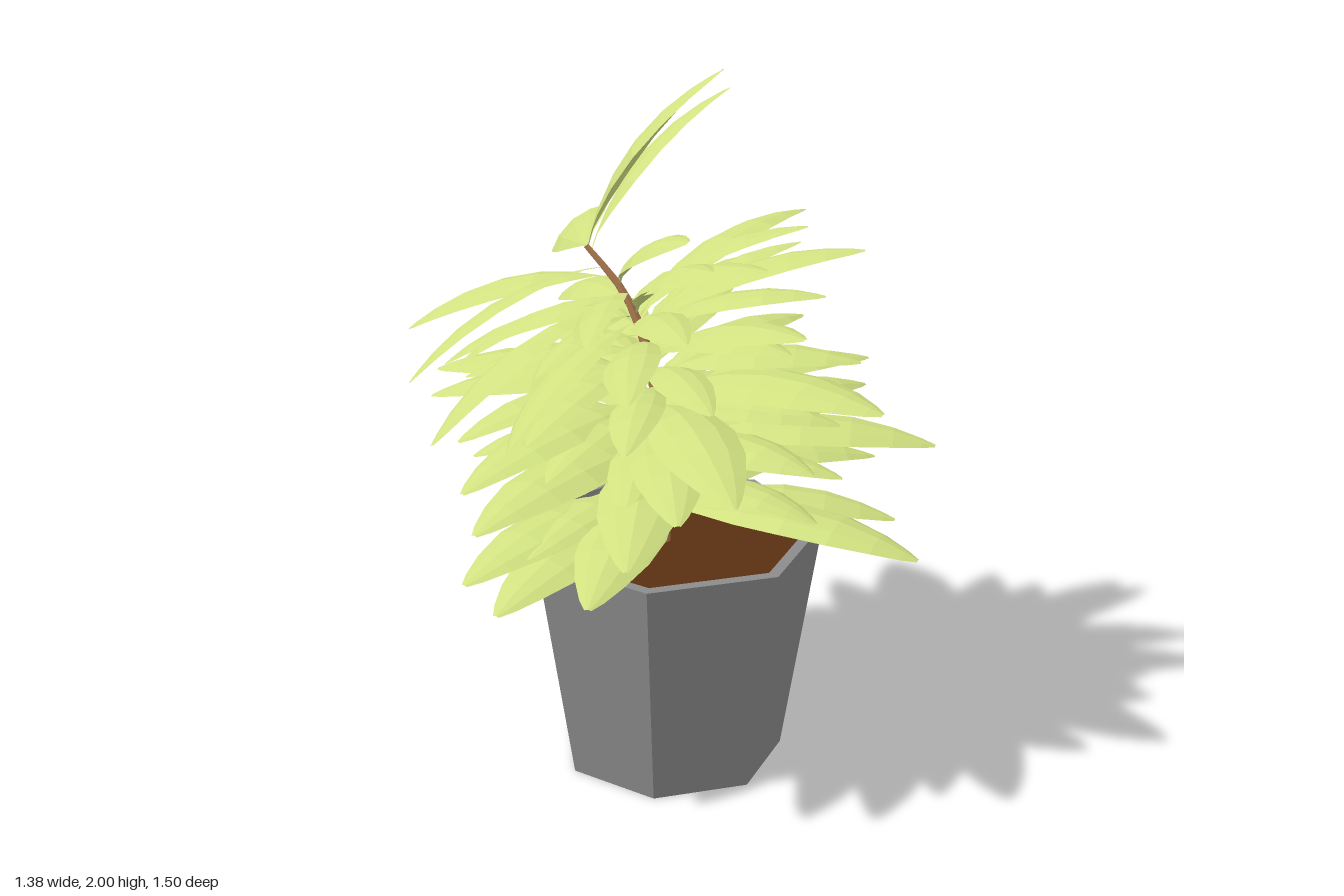
import * as THREE from 'three';

const mat = (color, side = THREE.FrontSide) =>
  new THREE.MeshStandardMaterial({ color, side, flatShading: true });
const leafMat = mat(0xd0e080, THREE.DoubleSide);
const potMat = mat(0x8c8c8c, THREE.DoubleSide);
const soilMat = mat(0x5a2f12);
const barkMat = mat(0xb07c52);

const V = (x, y, z) => new THREE.Vector3(x, y, z);

let seed = 11;
const rand = () => (seed = (seed * 16807) % 2147483647) / 2147483647;

function add(parent, name, geometry, material) {
  const mesh = new THREE.Mesh(geometry, material);
  mesh.name = name;
  parent.add(mesh);
  return mesh;
}

// Bent trunk, leaning over near the top
const stemCurve = new THREE.CatmullRomCurve3([
  V(0, 0.6, 0), V(0.005, 0.85, 0), V(-0.005, 1.02, 0), V(-0.04, 1.22, -0.01),
  V(-0.09, 1.36, -0.045), V(-0.18, 1.485, -0.1),
]);

// Point and direction of the trunk at a given height
function stemAt(y) {
  let lo = 0, hi = 1;
  for (let i = 0; i < 16; i++) {
    const mid = (lo + hi) / 2;
    if (stemCurve.getPoint(mid).y < y) lo = mid; else hi = mid;
  }
  return { point: stemCurve.getPoint(lo), tangent: stemCurve.getTangent(lo) };
}

function stemGeometry() {
  const rows = 14, sides = 6;
  const g = new THREE.TubeGeometry(stemCurve, rows, 1, sides, false);
  const p = g.attributes.position;
  for (let i = 0; i < p.count; i++) {
    const t = Math.floor(i / (sides + 1)) / rows;
    const c = stemCurve.getPointAt(t);
    const v = V().fromBufferAttribute(p, i).sub(c);
    v.multiplyScalar(THREE.MathUtils.lerp(0.028, 0.008, t)).add(c);
    p.setXYZ(i, v.x, v.y, v.z);
  }
  return g;
}

// Leaf: arched midrib from base to tip with drooping margins, lying square to the trunk
const LEAF_T = [0, 0.08, 0.18, 0.34, 0.52, 0.7, 0.85, 0.95, 1];
const LEAF_W = [0.04, 0.08, 0.42, 0.84, 1, 0.9, 0.6, 0.3, 0.08];
const ACROSS = [-1, -0.55, 0, 0.55, 1];

function leafGeometry(base, tip, up) {
  const arch = 0.11, width = 0.15;
  const dir = tip.clone().sub(base);
  const len = dir.length();
  dir.normalize();
  const side = dir.clone().cross(up).normalize();
  const normal = side.clone().cross(dir);
  const pos = [], index = [];
  const n = ACROSS.length;
  LEAF_T.forEach((t, i) => {
    const half = LEAF_W[i] * width * len;
    const lift = 4 * t * (1 - t) * arch * len;
    for (const s of ACROSS) {
      const v = base.clone().addScaledVector(dir, t * len)
        .addScaledVector(side, s * half)
        .addScaledVector(normal, lift - 0.3 * half * s * s);
      pos.push(v.x, v.y, v.z);
    }
    if (i === 0) return;
    for (let k = 0; k < n - 1; k++) {
      const a = (i - 1) * n + k, b = i * n + k;
      index.push(a, a + 1, b, a + 1, b + 1, b);
    }
  });
  const g = new THREE.BufferGeometry();
  g.setAttribute('position', new THREE.Float32BufferAttribute(pos, 3));
  g.setIndex(index);
  g.computeVertexNormals();
  return g;
}

// Longest leaves: tip x, y, z and height of the base on the trunk
const CROWN_LEAVES = [
  [0.13, 2.0, 0.12, 1.48], [0.27, 1.85, -0.25, 1.47], [0, 1.31, -0.75, 1.47],
  [-0.69, 1.17, -0.03, 1.43], [-0.68, 1.08, 0.2, 1.34], [-0.62, 1.2, -0.37, 1.4],
  [0.54, 1.44, -0.38, 1.28], [0.5, 1.51, 0.22, 1.26], [0.36, 1.57, 0.16, 1.32],
  [0.41, 1.46, -0.04, 1.25], [0, 1.57, 0.45, 1.3], [-0.03, 1.62, 0.35, 1.38],
  [0.23, 1.39, 0.52, 1.17], [-0.6, 1.1, 0.08, 1.33], [-0.5, 1.08, 0.3, 1.28],
  [-0.52, 1.14, -0.2, 1.35],
];
const OUTER_LEAVES = [
  [0.68, 0.95, -0.22, 0.93], [0.64, 0.77, -0.33, 0.77], [0.63, 1.09, -0.07, 1.03],
  [0.62, 0.83, 0.03, 0.82], [0.69, 0.96, 0.3, 0.92], [0.57, 0.72, 0.5, 0.72],
  [0.6, 0.73, 0.25, 0.74], [0.42, 1.19, 0.59, 1.08], [0.37, 1.2, -0.58, 1.13],
  [0.41, 1.29, -0.46, 1.18], [-0.03, 1.05, 0.75, 1.04], [-0.15, 0.98, 0.66, 0.98],
  [-0.3, 0.9, 0.72, 0.9], [-0.38, 0.77, 0.64, 0.77], [-0.58, 0.7, 0.47, 0.72],
  [-0.64, 0.75, 0.37, 0.77], [-0.62, 0.91, 0.42, 0.92], [-0.63, 0.99, 0.33, 1.04],
  [-0.53, 1.05, -0.43, 1.1], [-0.58, 1.03, -0.28, 1.08], [-0.25, 0.97, -0.65, 0.98],
  [-0.02, 1.05, -0.71, 1.07], [-0.1, 0.78, -0.72, 0.78], [-0.09, 0.7, -0.65, 0.72],
];
// Directions of the shorter leaves (degrees from +x towards +z) and their height range
const DIRECTIONS = [
  [-28, 0.7, 1.5], [-52, 0.8, 1.5], [-95, 0.7, 1.5], [-110, 0.85, 1.5],
  [-145, 0.95, 1.5], [172, 0.9, 1.5], [142, 0.7, 1.5], [115, 0.7, 1.5],
  [90, 0.95, 1.5], [52, 0.7, 1.5], [30, 0.7, 1.5], [-5, 0.7, 1.05],
];

function foliage() {
  const group = new THREE.Group();
  group.name = 'foliage';
  const grow = (name, list) => list.forEach(([x, y, z, h]) => {
    const { point, tangent } = stemAt(h);
    add(group, name, leafGeometry(point, V(x, y, z), tangent), leafMat);
  });
  grow('crownLeaf', CROWN_LEAVES);
  grow('outerLeaf', OUTER_LEAVES);

  // Shorter leaves spiral up the trunk, tilting with its lean
  const count = 60;
  for (let i = 0; i < count; i++) {
    const h = 0.72 + 0.64 * (i / count);
    const [deg, low, high] = DIRECTIONS[(i * 5) % DIRECTIONS.length];
    const a = THREE.MathUtils.degToRad(deg + (rand() - 0.5) * 12);
    const len = 0.47 + 0.14 * rand() - 0.15 * Math.max(0, h - 1);
    if (h < low || h > high) continue;
    const { point, tangent } = stemAt(h);
    const d = V(Math.cos(a), 0, Math.sin(a));
    d.y = -0.85 * d.dot(tangent) / tangent.y;
    const tip = point.clone().addScaledVector(d, len);
    tip.y += 0.03 * rand() - 0.01;
    add(group, 'innerLeaf', leafGeometry(point, tip, tangent), leafMat);
  }
  return group;
}

export function createModel() {
  const model = new THREE.Group();
  model.name = 'pottedPlant';

  // Seven-sided tapered pot with a hollow rim
  const SIDES = 7, H = 0.68, SOIL = 0.635;
  const pot = new THREE.Group();
  pot.name = 'pot';
  pot.position.set(0.023, 0, 0.033);
  pot.rotation.y = Math.PI / SIDES;
  model.add(pot);
  const profile = [[0, 0], [0.313, 0], [0.422, H], [0.387, H], [0.37, 0.6]];
  add(pot, 'planter', new THREE.LatheGeometry(
    profile.map(([r, y]) => new THREE.Vector2(r, y)), SIDES), potMat);
  const soil = add(pot, 'soil', new THREE.CylinderGeometry(0.377, 0.37, 0.03, SIDES), soilMat);
  soil.position.y = SOIL - 0.015;

  add(model, 'trunk', stemGeometry(), barkMat);
  model.add(foliage());
  return model;
}
